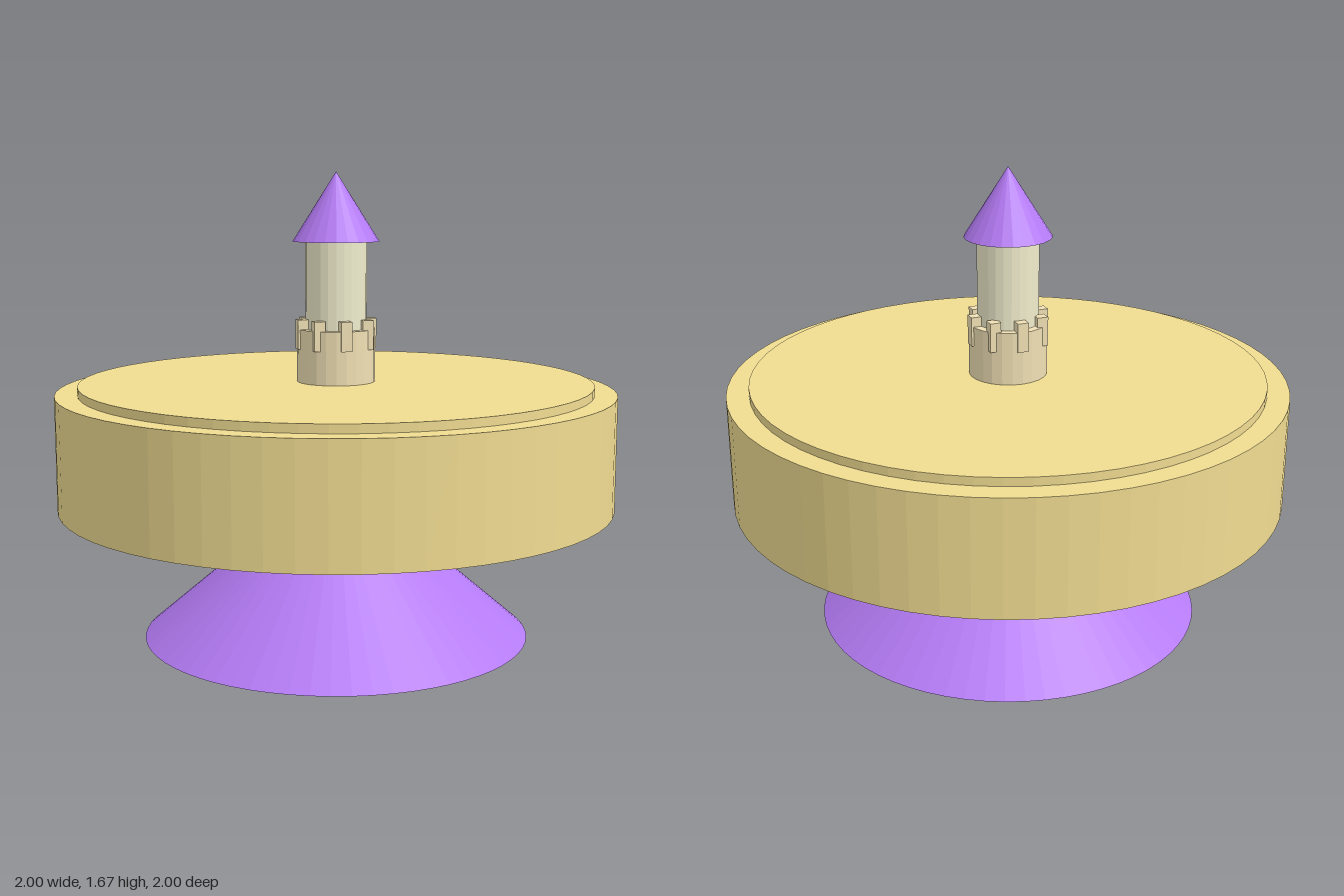
import * as THREE from 'three';

const material = (color) => new THREE.MeshStandardMaterial({ color, flatShading: true });

export function createModel() {
  const model = new THREE.Group();
  model.name = 'towerOnDisc';
  const purple = material(0xb57bf5);
  const sand = material(0xf0dc91);
  const wheat = material(0xf0e0b4);
  const cream = material(0xf0edcc);

  // A round part spanning two heights
  function round(name, mat, rTop, rBottom, y0, y1, sides) {
    const geometry = rTop === 0
      ? new THREE.ConeGeometry(rBottom, y1 - y0, sides)
      : new THREE.CylinderGeometry(rTop, rBottom, y1 - y0, sides);
    const mesh = new THREE.Mesh(geometry, mat);
    mesh.name = name;
    mesh.position.y = (y0 + y1) / 2;
    model.add(mesh);
  }

  // Conical foot, its tip hidden inside the disc
  round('footCone', purple, 0, 0.7, 0, 0.6, 64);

  // Wide disc with a thin raised plate
  round('disc', sand, 1, 1, 0.49, 0.9, 64);
  round('topPlate', sand, 0.92, 0.92, 0.9, 0.93, 64);

  // Tower
  round('towerBase', wheat, 0.14, 0.14, 0.93, 1.12, 24);
  round('towerShaft', cream, 0.11, 0.11, 1.12, 1.43, 24);
  round('roof', purple, 0, 0.155, 1.43, 1.675, 24);

  // Ring of eight square battlements, all aligned with the axes
  const battlements = new THREE.Group();
  battlements.name = 'battlements';
  const block = new THREE.BoxGeometry(0.04, 0.105, 0.04);
  for (let i = 0; i < 8; i++) {
    const angle = (i * Math.PI) / 4;
    const mesh = new THREE.Mesh(block, wheat);
    mesh.name = 'battlement';
    mesh.position.set(Math.cos(angle) * 0.125, 1.1025, Math.sin(angle) * 0.125);
    battlements.add(mesh);
  }
  model.add(battlements);

  return model;
}
